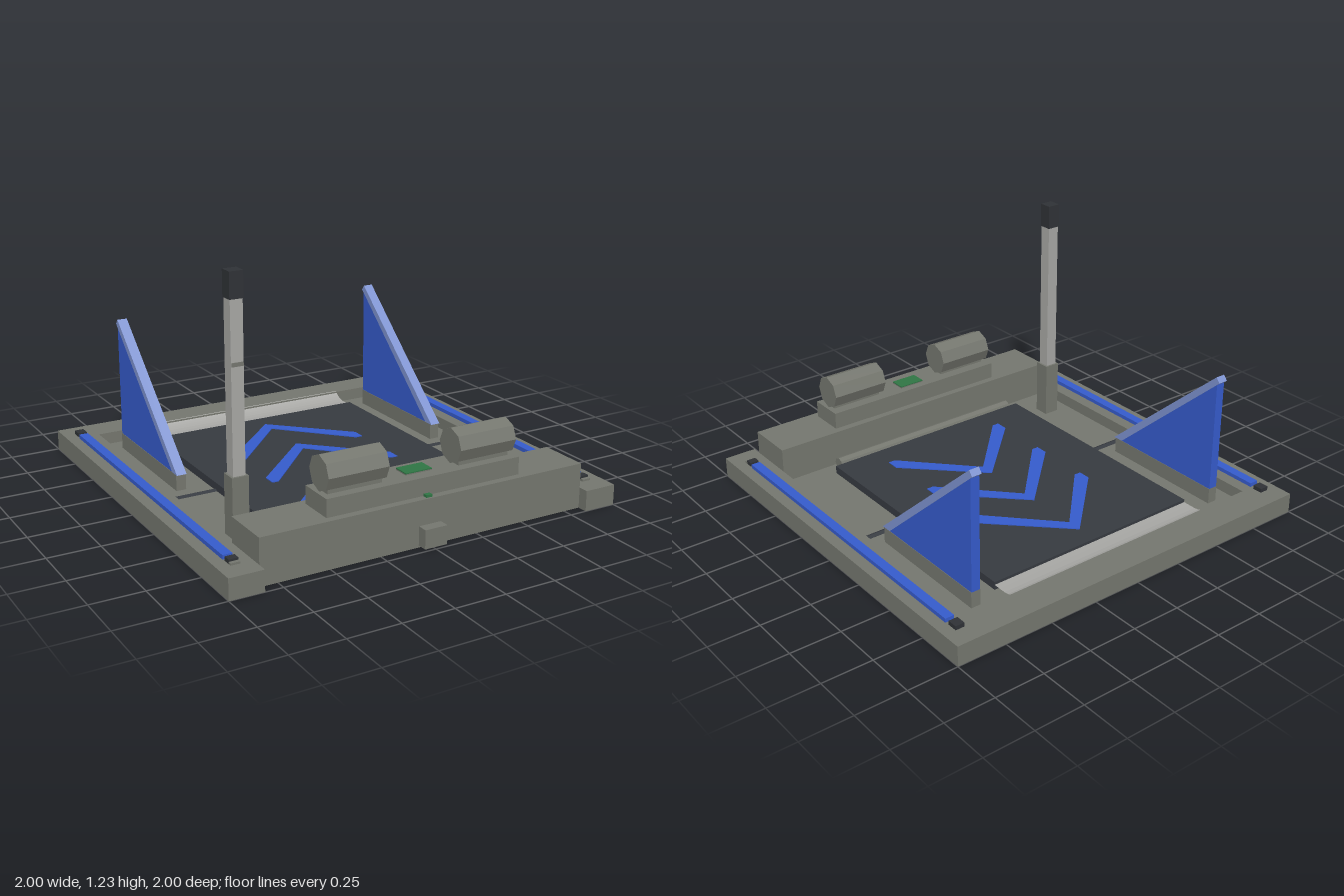
import * as THREE from 'three';

const mat = (name, hex, extra = {}) => {
  const m = new THREE.MeshStandardMaterial({ color: hex, flatShading: true, ...extra });
  m.name = name;
  return m;
};

export function createModel() {
  const grey = mat('frame grey', 0x74766e);
  const light = mat('light metal', 0xa6a6a3, { side: THREE.DoubleSide });
  const dark = mat('dark rubber', 0x363a40);
  const black = mat('black plastic', 0x2f3236);
  const blue = mat('blue', 0x355bcb);
  const paleBlue = mat('pale blue', 0x7d92cf);
  const green = mat('green', 0x2f7544);

  const model = new THREE.Group();
  model.name = 'conveyorStation';

  const add = (name, geometry, material) => {
    const mesh = new THREE.Mesh(geometry, material);
    mesh.name = name;
    model.add(mesh);
    return mesh;
  };
  // Box given by its min and max on each axis
  const box = (name, material, [x0, x1], [y0, y1], [z0, z1]) => {
    const mesh = add(name, new THREE.BoxGeometry(x1 - x0, y1 - y0, z1 - z0), material);
    mesh.position.set((x0 + x1) / 2, (y0 + y1) / 2, (z0 + z1) / 2);
    return mesh;
  };
  // Cylinder lying along x, with a corner at the top
  const roller = (name, material, r, length, x, y, z, sides = 8) => {
    const mesh = add(name, new THREE.CylinderGeometry(r, r, length, sides), material);
    mesh.rotation.z = Math.PI / 2;
    mesh.position.set(x, y, z);
    return mesh;
  };
  // Side profile of [z, y] points, extruded along x and centred on x
  const profile = (name, material, points, width, x) => {
    const shape = new THREE.Shape(points.map(([z, y]) => new THREE.Vector2(-z, y)));
    const geo = new THREE.ExtrudeGeometry(shape, { depth: width, bevelEnabled: false });
    geo.rotateY(Math.PI / 2).translate(x - width / 2, 0, 0);
    return add(name, geo, material);
  };

  // Recessed tray with a raised rim
  const inner = 0.835;
  box('trayFloor', grey, [-inner, inner], [0, 0.04], [-0.84, 0.7]);
  box('rearRim', grey, [-inner, inner], [0, 0.1], [-1, -0.84]);
  roller('driveShaft', dark, 0.024, 1.63, 0.015, 0.024, 0.005);

  for (const s of [-1, 1]) {
    const span = (a, b) => (s > 0 ? [a, b] : [-b, -a]);
    box('sideRim', grey, span(inner, 1), [0, 0.1], [-1, 1]);

    // Light rail with end stops
    box('sideRail', blue, span(0.897, 0.943), [0.1, 0.12], [-0.835, 0.83]);
    box('rearRailStop', black, span(0.895, 0.94), [0.1, 0.12], [-0.905, -0.855]);
    box('frontRailStop', black, span(0.895, 0.94), [0.1, 0.12], [0.845, 0.882]);
    box('frontRailFoot', grey, span(0.895, 0.94), [0.1, 0.11], [0.882, 0.9]);

    // Triangular side guide with a sloping cap
    box('guideBase', grey, span(0.695, 0.745), [0.04, 0.12], [-0.75, -0.075]);
    profile('guidePanel', blue, [[-0.11, 0.12], [-0.75, 0.12], [-0.75, 0.69]], 0.046, s * 0.72);
    profile('guideCap', paleBlue,
      [[-0.065, 0.12], [-0.12, 0.12], [-0.765, 0.695], [-0.745, 0.72]], 0.05, s * 0.72);

    // Motor drum on its saddle
    box('drumSaddle', grey, span(0.2, 0.47), [0.3, 0.325], [0.79, 0.87]);
    roller('motorDrum', grey, 0.083, 0.3, s * 0.335, 0.388, 0.825);
  }

  // Front housing
  box('frontHousing', grey, [-inner, inner], [0, 0.22], [0.7, 0.95]);
  box('motorDeck', grey, [-0.5, 0.5], [0.22, 0.305], [0.735, 0.915]);
  box('frontLatch', grey, [-0.057, 0.057], [0.01, 0.1], [0.95, 1]);
  box('panelMount', grey, [-0.068, 0.068], [0.305, 0.31], [0.775, 0.855]);
  box('statusPanel', green, [-0.068, 0.068], [0.31, 0.315], [0.775, 0.855]);
  box('statusLamp', green, [-0.015, 0.015], [0.22, 0.232], [0.918, 0.94]);

  // Moving bed with front roller
  box('belt', dark, [-0.58, 0.58], [0.04, 0.08], [-0.7, 0.62]);
  roller('frontRoller', grey, 0.033, 1.08, 0, 0.062, 0.657);

  // Curved chute plate behind the belt
  const chute = new THREE.CatmullRomCurve3([
    [-0.85, 0.102], [-0.825, 0.082], [-0.79, 0.068], [-0.7, 0.066],
  ].map(([z, y]) => new THREE.Vector3(0, y, z)));
  const chuteGeo = new THREE.PlaneGeometry(1.16, 1, 1, 8);
  const p = chuteGeo.attributes.position;
  for (let i = 0; i < p.count; i++) {
    const c = chute.getPoint(0.5 - p.getY(i));
    p.setXYZ(i, p.getX(i), c.y, c.z);
  }
  chuteGeo.computeVertexNormals();
  add('rearChute', chuteGeo, light);

  // Direction chevrons, as thin plates on the belt
  const chevron = new THREE.Shape([
    [0, 0], [0.35, -0.34], [0.35, -0.405], [0.315, -0.405],
    [0, -0.075], [-0.315, -0.405], [-0.35, -0.405], [-0.35, -0.34],
  ].map(([x, y]) => new THREE.Vector2(x, y)));
  const chevronGeo = new THREE.ExtrudeGeometry(chevron, { depth: 0.004, bevelEnabled: false });
  chevronGeo.rotateX(-Math.PI / 2);
  for (let i = 0; i < 3; i++) {
    add('chevron', chevronGeo, blue).position.set(0, 0.08, -0.597 + i * 0.337);
  }

  // Sensor mast
  const around = (c, r) => [c - r, c + r];
  const mast = (name, material, r, y) => box(name, material, around(-0.72, r), y, around(0.518, r));
  mast('mastSocket', grey, 0.04, [0.04, 0.325]);
  mast('mastPost', light, 0.03, [0.325, 1.11]);
  mast('mastHead', black, 0.033, [1.11, 1.23]);
  box('mastMark', grey, around(-0.72, 0.028), [0.818, 0.836], [0.548, 0.552]);

  return model;
}
